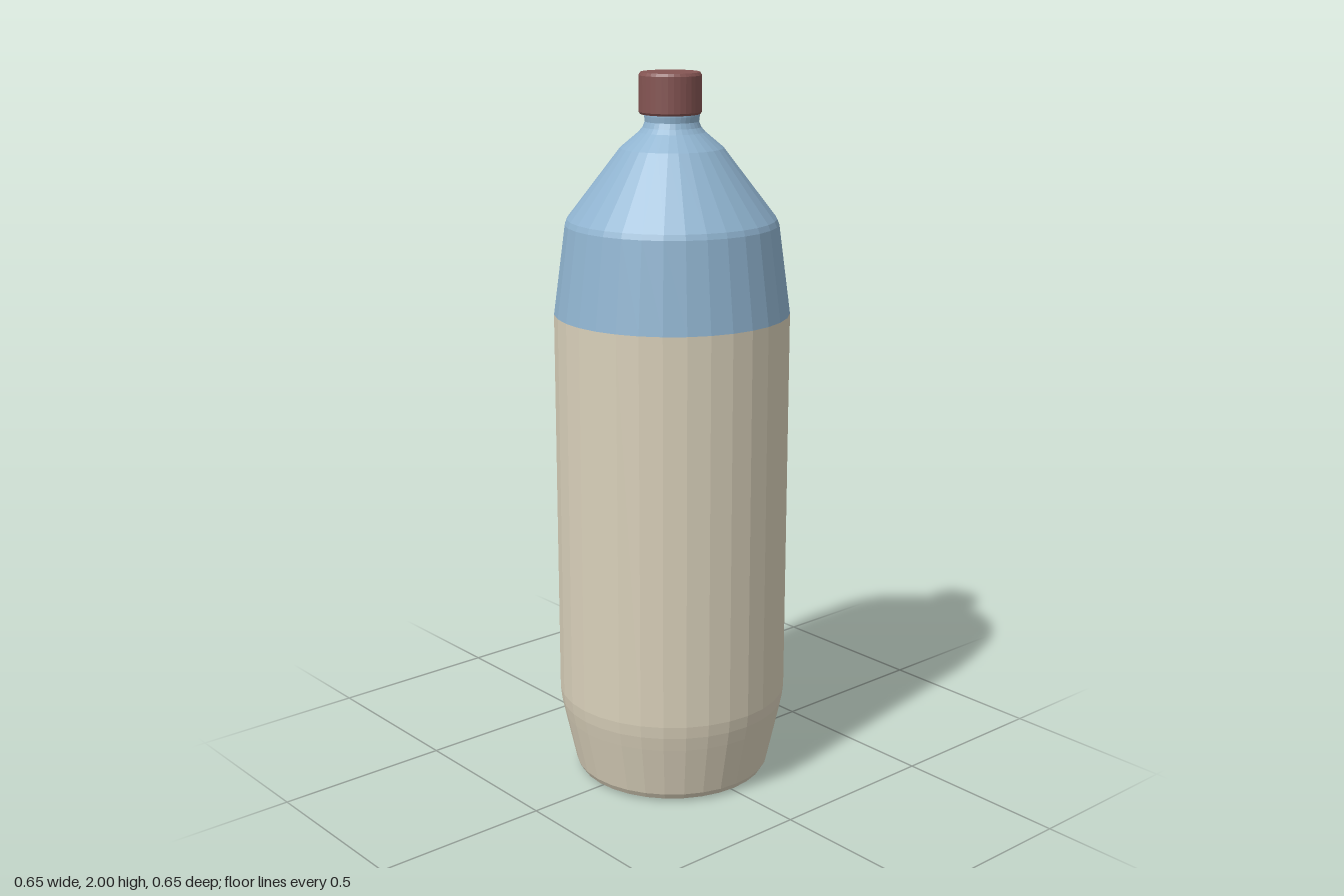
import * as THREE from 'three';

const SIDES = 32;

// Faceted turned part from [radius, height] pairs, listed bottom to top
function turned(name, profile, color) {
  const points = profile.map(([r, y]) => new THREE.Vector2(r, y));
  // Rotated so a corner falls on each axis
  const geometry = new THREE.LatheGeometry(points, SIDES);
  const material = new THREE.MeshStandardMaterial({ color, flatShading: true });
  const mesh = new THREE.Mesh(geometry, material);
  mesh.name = name;
  return mesh;
}

export function createModel() {
  const group = new THREE.Group();
  group.name = 'bottle';

  // Lower body with closed base, bevelled foot and tapered heel
  const body = turned('body', [
    [0, 0], [0.255, 0], [0.27, 0.008], [0.28, 0.025],
    [0.313, 0.175], [0.321, 0.215], [0.325, 0.25], [0.325, 1.35],
  ], 0xd9d0ba);

  // Tapered upper body, sloping shoulder and pinched neck
  const shoulder = turned('shoulder', [
    [0.325, 1.35], [0.292, 1.595], [0.286, 1.61], [0.14, 1.8],
    [0.09, 1.842], [0.079, 1.855], [0.073, 1.87], [0.075, 1.885], [0.075, 1.91],
  ], 0x90b4d0);

  // Screw cap with small bevels, sitting very slightly off centre
  const cap = turned('cap', [
    [0, 1.89], [0.081, 1.89], [0.085, 1.896], [0.085, 1.992], [0.08, 2], [0, 2],
  ], 0x855553);
  cap.position.set(-0.004, 0, -0.002);

  group.add(body, shoulder, cap);
  return group;
}
